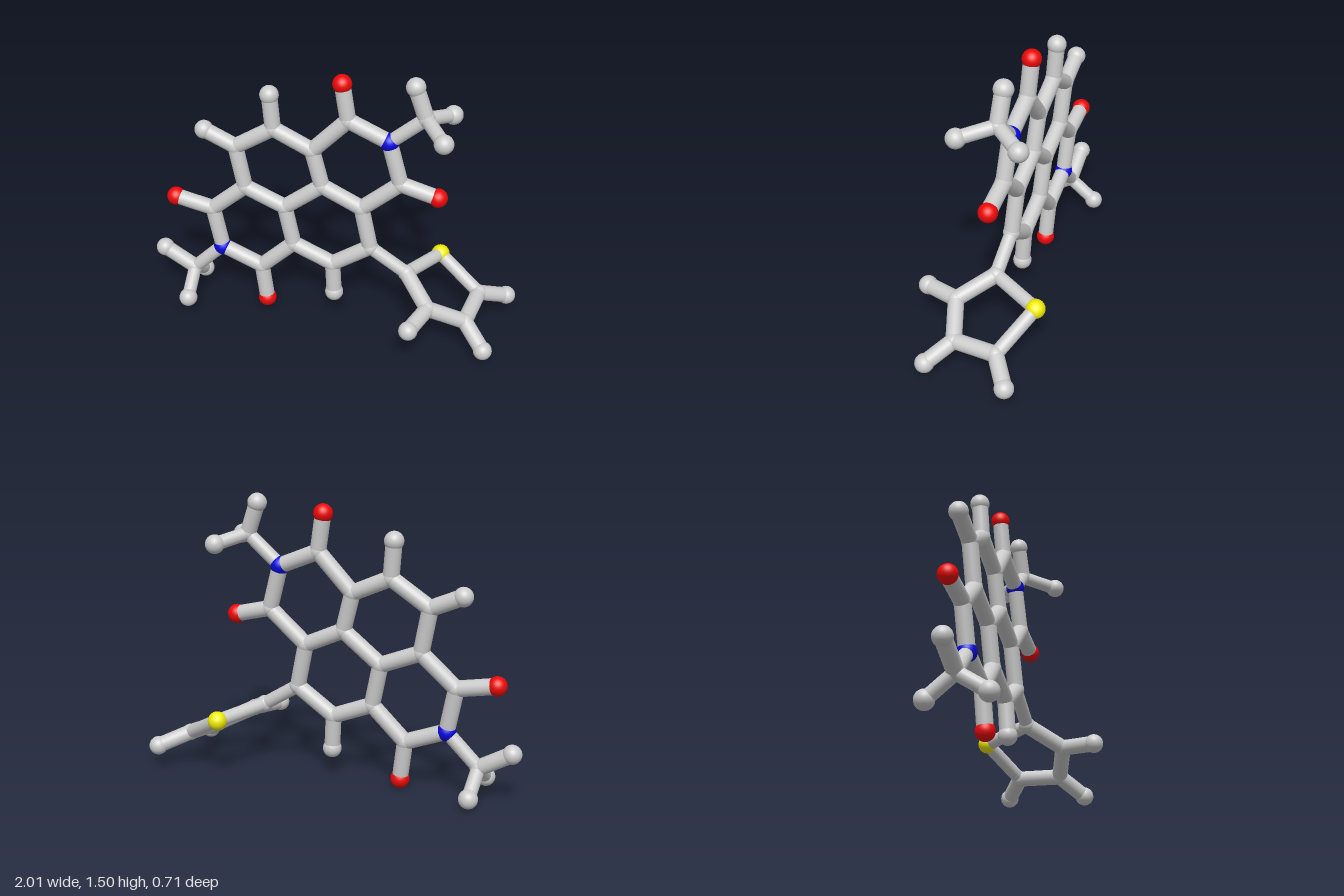
import * as THREE from 'three';

const BALL = 0.05, ROD = 0.042, THIN = 0.036;
const material = (color) => new THREE.MeshStandardMaterial({ color });
const grey = material(0xcccccc);
const kinds = {
  C: ['carbon', grey],
  H: ['hydrogen', grey],
  O: ['oxygen', material(0xee0808)],
  N: ['nitrogen', material(0x0808dd)],
  S: ['sulfur', material(0xf0ec08)],
};

// The fused rings lie in one slightly tilted plane
const plane = (x, y) => -0.051 + 0.046 * x - 0.042 * y;

// Atoms: first letter is the kind; z is taken from the plane when left out
const atoms = {
  // fused ring core
  C1: [0.083, 1.222], C2: [0.366, 0.896], C3: [0.165, 0.72], C4: [-0.05, 0.82],
  C5: [-0.104, 1.024], C6: [-0.313, 1.12], C7: [-0.52, 0.987], C8: [-0.473, 0.75],
  C9: [-0.254, 0.66], C10: [-0.206, 0.436], C11: [0.013, 0.345], C12: [0.217, 0.484],
  C13: [-0.66, 0.586], C14: [-0.388, 0.26],
  N1: [0.3, 1.13], N2: [-0.612, 0.35],
  O1: [0.05, 1.42], O2: [0.564, 0.845], O3: [-0.87, 0.628], O4: [-0.36, 0.05],
  H6: [-0.33, 1.31], H7: [-0.69, 1.062], H11: [0.024, 0.16],
  // upper right methyl
  C15: [0.48, 1.286], H15: [0.42, 1.45], H16: [0.6, 1.245, -0.225], H17: [0.59, 1.25, 0.083],
  // lower left methyl
  C16: [-0.783, 0.18], H18: [-0.955, 0.28], H19: [-0.773, 0.067, -0.24], H20: [-0.783, 0.076, 0.06],
  // five-sided side ring
  C17: [0.42, 0.355, -0.047], C18: [0.56, 0.263, 0.12], C19: [0.757, 0.165, 0.06],
  C20: [0.805, 0.185, -0.178], S1: [0.572, 0.322, -0.307],
  H21: [0.486, 0.248, 0.302], H22: [0.869, 0.078, 0.176], H23: [0.952, 0.12, -0.272],
};

const thickBonds = [
  // fused rings
  'C1-C5 C1-N1 N1-C2 C2-C3 C3-C4 C4-C5 C5-C6 C6-C7 C7-C8 C8-C9 C9-C4',
  'C9-C10 C10-C11 C11-C12 C12-C3 C8-C13 C13-N2 N2-C14 C14-C10',
  // side branches
  'C1-O1 C2-O2 C13-O3 C14-O4 C6-H6 C7-H7 C11-H11 C15-H15 C16-H18',
  // side ring
  'C17-C18 C18-C19 C19-C20 C18-H21 C19-H22 C20-H23',
];
const thinBonds = [
  'N1-C15 C15-H16 C15-H17 N2-C16 C16-H19 C16-H20',
  'C12-C17 C17-S1 S1-C20',
];

export function createModel() {
  const model = new THREE.Group();
  model.name = 'molecule';
  const points = {};

  // Atom balls
  const ball = new THREE.SphereGeometry(BALL, 28, 18);
  const carbonBall = new THREE.SphereGeometry(0.045, 28, 18);
  for (const [key, [x, y, z = plane(x, y)]] of Object.entries(atoms)) {
    const [name, mat] = kinds[key[0]];
    const mesh = new THREE.Mesh(key[0] === 'C' ? carbonBall : ball, mat);
    mesh.name = name + 'Ball';
    mesh.position.set(x, y, z);
    points[key] = mesh.position;
    model.add(mesh);
  }

  // Rods joining the atoms
  const up = new THREE.Vector3(0, 1, 0);
  const addBonds = (rows, radius) => {
    for (const pair of rows.join(' ').split(' ')) {
      const [a, b] = pair.split('-').map((key) => points[key]);
      const along = b.clone().sub(a);
      const rod = new THREE.Mesh(new THREE.CylinderGeometry(radius, radius, along.length(), 24, 1, true), grey);
      rod.name = 'bondRod';
      rod.position.copy(a).add(b).multiplyScalar(0.5);
      rod.quaternion.setFromUnitVectors(up, along.normalize());
      model.add(rod);
    }
  };
  addBonds(thickBonds, ROD);
  addBonds(thinBonds, THIN);
  return model;
}
